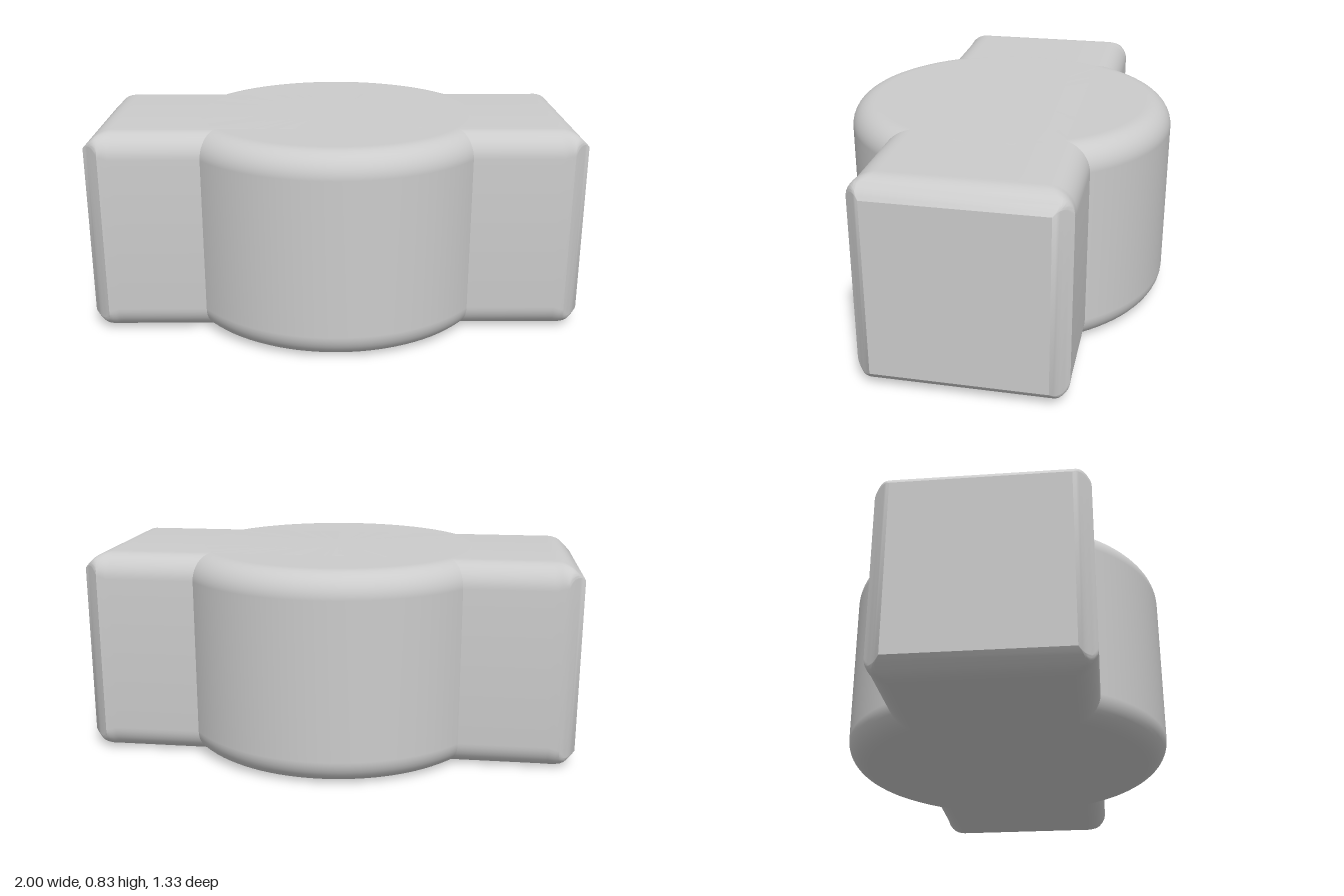
import * as THREE from 'three';
import { toCreasedNormals } from 'three/addons/utils/BufferGeometryUtils.js';

const H = 0.833, MID = H / 2, R = 0.1, CHAMFER = 0.067, STEPS = 10;
const material = new THREE.MeshStandardMaterial({ color: 0xcccccc });

// Drop of the top face near an end: a fillet running into a 45 degree chamfer
function topInset(x) {
  if (x < 0.892) return 0;
  if (x < 0.9625) return R - Math.sqrt(R * R - (x - 0.892) ** 2);
  return x - (1 - CHAMFER);
}

// Rounded rectangle across the bar at a given x
function section(x) {
  const a = Math.abs(x), cut = Math.max(0, a - (1 - CHAMFER));
  const t = cut / CHAMFER;
  const halfY = MID - topInset(a), halfZ = 0.4 - cut;
  const r = a <= 1 - CHAMFER ? R - 0.02 * Math.max(0, (a - 0.892) / 0.041) : Math.max(0.002, 0.08 * (1 - t) ** 2);
  const pts = [];
  for (let q = 0; q < 4; q++) {
    const sz = q === 0 || q === 3 ? 1 : -1, sy = q < 2 ? 1 : -1;
    for (let i = 0; i <= STEPS; i++) {
      const ang = (q + i / STEPS) * Math.PI / 2;
      pts.push([x, MID + sy * (halfY - r) + r * Math.sin(ang), sz * (halfZ - r) + r * Math.cos(ang)]);
    }
  }
  return pts;
}

// Bar with bevelled ends, skinned over its cross-sections
function barGeometry() {
  const half = [0.5, 0.88, 0.892, 0.906, 0.92, 0.933, 0.944, 0.955, 0.966, 0.977, 0.988, 1];
  const stations = [...half.map(x => -x).reverse(), ...half];
  const rings = stations.map(section);
  const n = rings[0].length, pos = [];
  const tri = (a, b, c) => pos.push(...a, ...b, ...c);
  for (let i = 0; i < rings.length - 1; i++) {
    for (let j = 0; j < n; j++) {
      const k = (j + 1) % n, A = rings[i], B = rings[i + 1];
      tri(A[j], B[j], B[k]);
      tri(A[j], B[k], A[k]);
    }
  }
  const first = rings[0], last = rings[rings.length - 1];
  for (let j = 0; j < n; j++) {
    const k = (j + 1) % n;
    tri([-1, MID, 0], first[j], first[k]);
    tri([1, MID, 0], last[k], last[j]);
  }
  const g = new THREE.BufferGeometry();
  g.setAttribute('position', new THREE.Float32BufferAttribute(pos, 3));
  return toCreasedNormals(g, 0.5);
}

// Round drum with filleted rims
function drumGeometry() {
  const radius = 0.667, pts = [new THREE.Vector2(0, 0), new THREE.Vector2(radius - R - 0.01, 0)];
  for (const side of [0, 1]) {
    for (let i = 0; i <= STEPS; i++) {
      const a = (side - 1 + i / STEPS) * Math.PI / 2;
      pts.push(new THREE.Vector2(radius - R + R * Math.cos(a), (side ? H - R : R) + R * Math.sin(a)));
    }
  }
  pts.push(new THREE.Vector2(radius - R - 0.01, H), new THREE.Vector2(0, H));
  return new THREE.LatheGeometry(pts, 96);
}

export function createModel() {
  const group = new THREE.Group();
  group.name = 'roundedBlock';
  const add = (name, geometry) => {
    const mesh = new THREE.Mesh(geometry, material);
    mesh.name = name;
    group.add(mesh);
  };
  add('crossBar', barGeometry());
  add('centralDrum', drumGeometry());
  return group;
}
